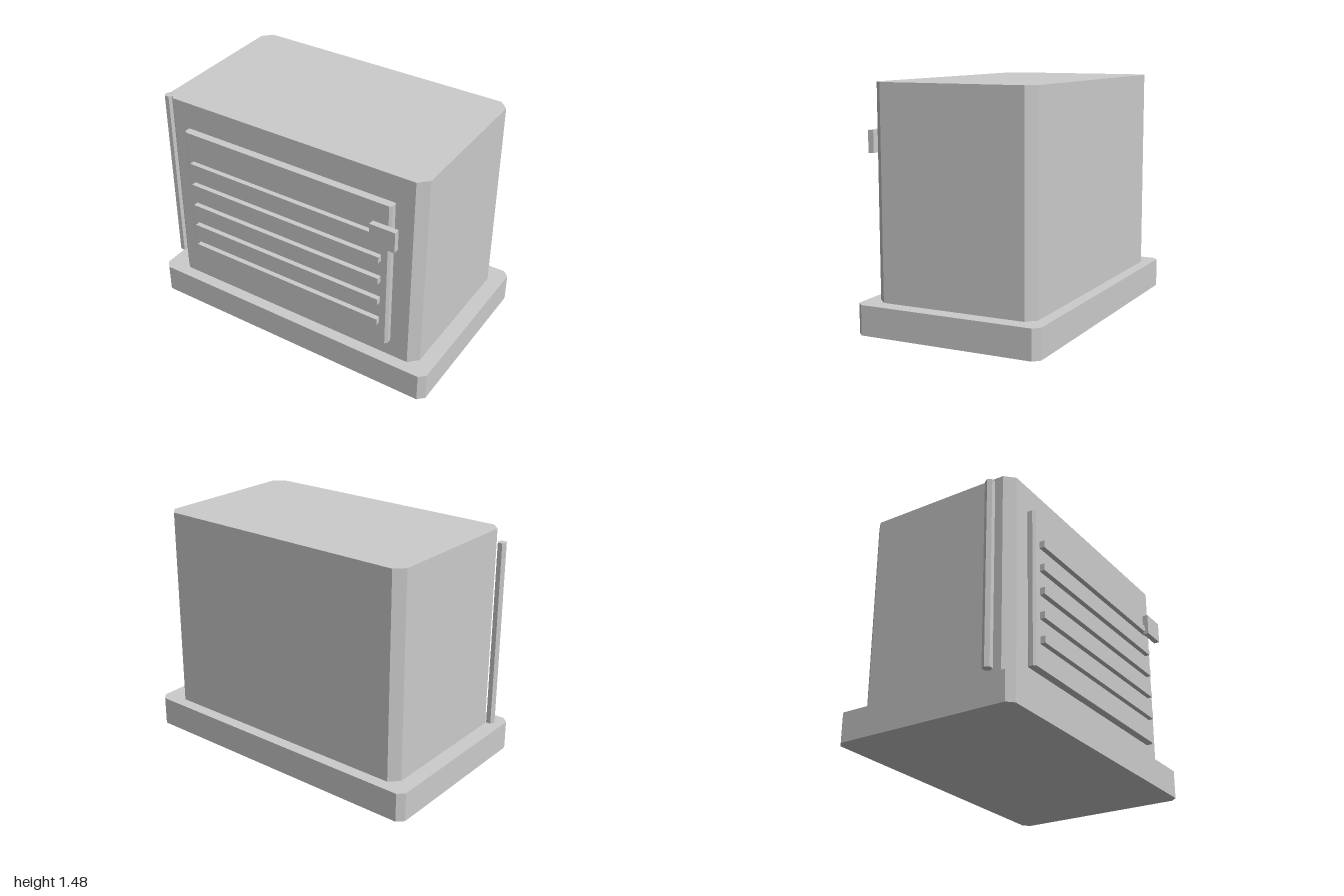
import * as THREE from 'three';

const material = new THREE.MeshStandardMaterial({ color: 0xcccccc, flatShading: true });

function addPart(group, name, geometry, x, y, z) {
  const mesh = new THREE.Mesh(geometry, material);
  mesh.name = name;
  mesh.position.set(x, y, z);
  group.add(mesh);
  return mesh;
}

// Upright block with its four vertical corners cut off; origin at the bottom centre
function chamferedBlock(width, height, depth, cut) {
  const w = width / 2, d = depth / 2;
  const outline = [
    [w, -d + cut], [w, d - cut], [w - cut, d], [-w + cut, d],
    [-w, d - cut], [-w, -d + cut], [-w + cut, -d], [w - cut, -d],
  ].map(([x, y]) => new THREE.Vector2(x, y));
  const geometry = new THREE.ExtrudeGeometry(new THREE.Shape(outline), { depth: height, bevelEnabled: false });
  return geometry.rotateX(-Math.PI / 2);
}

export function createModel() {
  const group = new THREE.Group();
  group.name = 'cabinet';
  const bodyZ = -0.0155;

  // Plinth and main housing
  addPart(group, 'base', chamferedBlock(2, 0.185, 1.19, 0.04), 0, 0, bodyZ);
  addPart(group, 'body', chamferedBlock(1.8, 1.3, 1.04, 0.058), 0, 0.185, bodyZ);

  // Front door, slightly sunk into the housing
  addPart(group, 'door', chamferedBlock(1.455, 1, 0.06, 0.015), -0.002, 0.31, 0.525);

  // Horizontal vent slats
  for (let i = 0; i < 5; i++) {
    addPart(group, 'ventSlat', new THREE.BoxGeometry(1.345, 0.044, 0.036), -0.002, 0.48 + i * 0.1538, 0.569);
  }

  // Door latch
  addPart(group, 'latch', new THREE.BoxGeometry(0.165, 0.137, 0.037), 0.703, 1.126, 0.593);

  // Hexagonal pipe beside the housing
  const pipe = new THREE.CylinderGeometry(0.03, 0.03, 1.19, 6).rotateY(Math.PI / 2);
  addPart(group, 'sidePipe', pipe, -0.964, 0.83, 0.4);

  return group;
}
